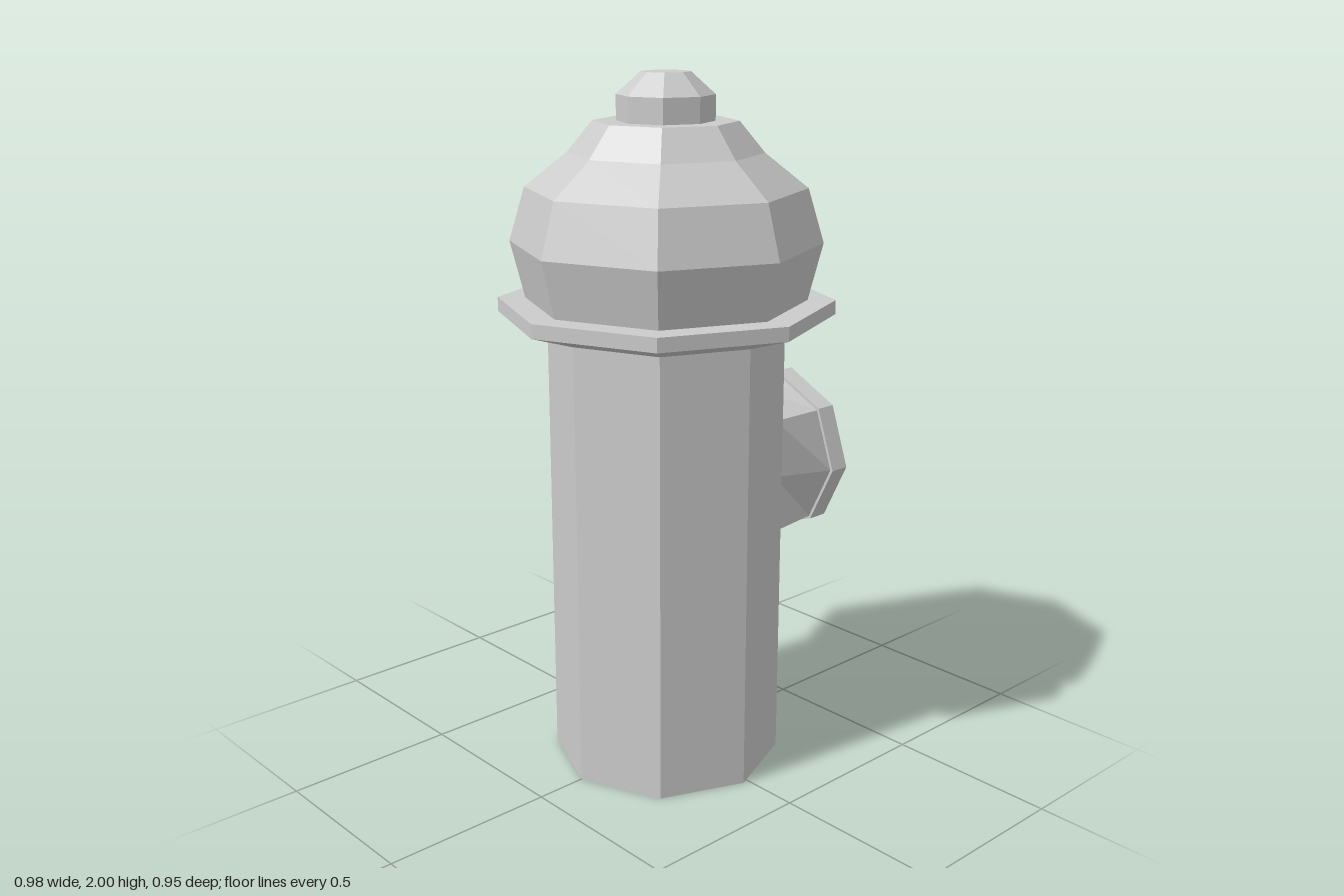
import * as THREE from 'three';

const SIDES = 8;
const material = new THREE.MeshStandardMaterial({ color: 0xcccccc, flatShading: true });

// Faceted solid of revolution from [radius, height] pairs, listed bottom to top
function turned(name, profile) {
  const points = profile.map(([r, y]) => new THREE.Vector2(r, y));
  const mesh = new THREE.Mesh(new THREE.LatheGeometry(points, SIDES), material);
  mesh.name = name;
  return mesh;
}

// Flat-faced skin between two closed loops of points
function loft(name, from, to) {
  const positions = [];
  const n = from.length;
  for (let i = 0; i < n; i++) {
    const j = (i + 1) % n;
    for (const p of [from[i], from[j], to[j], from[i], to[j], to[i]]) positions.push(...p);
  }
  const geometry = new THREE.BufferGeometry();
  geometry.setAttribute('position', new THREE.Float32BufferAttribute(positions, 3));
  geometry.computeVertexNormals();
  const mesh = new THREE.Mesh(geometry, material);
  mesh.name = name;
  return mesh;
}

function createOutlet() {
  const outlet = new THREE.Group();
  outlet.name = 'outlet';
  const twist = 0.06;
  const rimStart = 0.443;

  // Neck: its base follows the two barrel faces it grows from
  const base = [], end = [];
  for (let i = 0; i < SIDES; i++) {
    const a = (i / SIDES) * Math.PI * 2;
    const y = Math.cos(a), z = Math.sin(a);
    const onCorner = Math.abs(z) < 0.01;
    base.push(onCorner
      ? [0.32, 0.225 * Math.sign(y), 0]
      : [0.247, 0.17 * Math.round(y * 1.2), 0.2 * Math.sign(z)]);
    end.push([rimStart, 0.24 * Math.cos(a + twist), 0.24 * Math.sin(a + twist)]);
  }
  outlet.add(loft('outletNeck', base, end));

  // Rim with a recessed mouth, turned to point along +x
  const rim = turned('outletRim', [
    [0, 0], [0.249, 0], [0.249, 0.062], [0.185, 0.062], [0.185, -0.02], [0, -0.02],
  ]);
  rim.geometry.deleteAttribute('uv');
  rim.rotation.set(twist, 0, -Math.PI / 2);
  rim.position.x = rimStart;
  // Leave the back open so it does not cover the recess floor
  const index = rim.geometry.index.array;
  const points = 6;
  const kept = [];
  for (let i = 0; i < index.length; i += 3) {
    const rows = [index[i] % points, index[i + 1] % points, index[i + 2] % points];
    if (Math.min(...rows) > 0) kept.push(index[i], index[i + 1], index[i + 2]);
  }
  rim.geometry.setIndex(kept);
  outlet.add(rim);

  // Narrow ledge behind the rim
  const ledge = new THREE.Mesh(new THREE.RingGeometry(0.22, 0.249, SIDES), material);
  ledge.name = 'outletLedge';
  ledge.rotation.set(twist, -Math.PI / 2, 0);
  ledge.position.x = rimStart;
  outlet.add(ledge);

  outlet.position.y = 0.847;
  return outlet;
}

export function createModel() {
  const model = new THREE.Group();
  model.name = 'hydrant';

  model.add(
    turned('barrel', [[0, 0], [0.334, 0], [0.334, 1.3]]),
    turned('flange', [[0.32, 1.295], [0.334, 1.295], [0.473, 1.34], [0.473, 1.38], [0.38, 1.38]]),
    turned('dome', [
      [0.395, 1.38], [0.435, 1.54], [0.39, 1.69], [0.27, 1.785], [0.2, 1.87], [0, 1.87],
    ]),
    turned('topNut', [[0.135, 1.87], [0.135, 1.94], [0.068, 2], [0, 2]]),
    createOutlet(),
  );

  // The outlet sticks out on one side, so the barrel sits slightly off centre
  model.position.x = -0.018;
  const root = new THREE.Group();
  root.name = 'hydrantRoot';
  root.add(model);
  return root;
}
